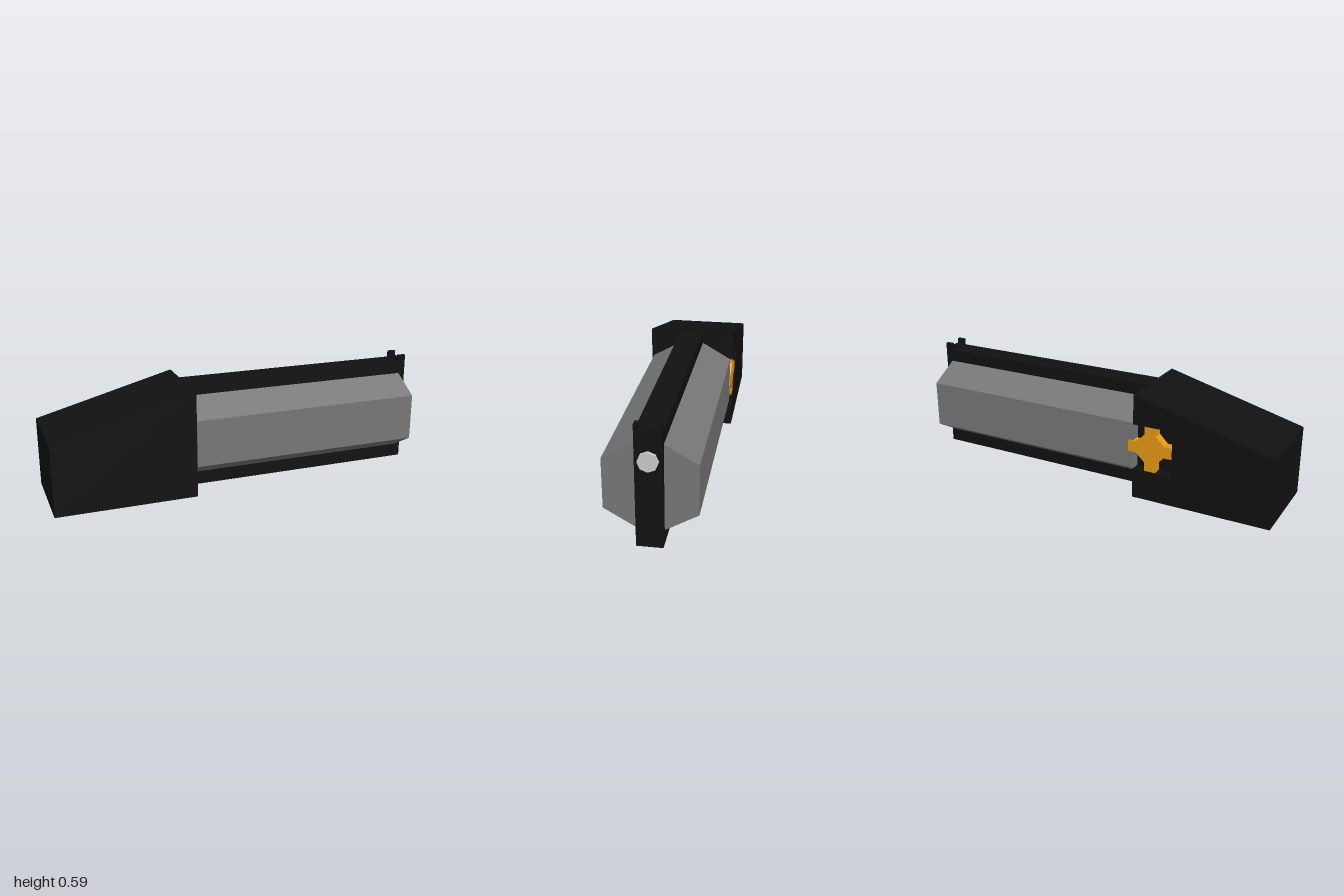
import * as THREE from 'three';

const mat = (color) => new THREE.MeshStandardMaterial({ color, flatShading: true });

// Extrude a 2D outline along z from z0 to z1
function prism(points, z0, z1) {
  const shape = new THREE.Shape(points.map(([x, y]) => new THREE.Vector2(x, y)));
  const geo = new THREE.ExtrudeGeometry(shape, { depth: z1 - z0, bevelEnabled: false });
  return geo.translate(0, 0, z0);
}

// Box given by its minimum and maximum corners
function box(x0, x1, y0, y1, z0, z1) {
  return new THREE.BoxGeometry(x1 - x0, y1 - y0, z1 - z0)
    .translate((x0 + x1) / 2, (y0 + y1) / 2, (z0 + z1) / 2);
}

export function createModel() {
  const group = new THREE.Group();
  const black = mat(0x111111);
  const grey = mat(0x777777);
  const light = mat(0xcccccc);
  const gold = mat(0xe69a14);
  const add = (name, geometry, material) => {
    const mesh = new THREE.Mesh(geometry, material);
    mesh.name = name;
    group.add(mesh);
    return mesh;
  };

  // Wedge-shaped rear block; its outer back layer has a pocket open to the front end
  const pocketZ = -0.17;
  const bottom = [[-1, 0.005], [-0.28, 0.005]];
  const top = [[-0.28, 0.555], [-1, 0.365]];
  const notch = [[-0.28, 0.16], [-0.49, 0.16], [-0.49, 0.4], [-0.28, 0.4]];
  add('rearBlock', prism([...bottom, ...top], pocketZ, 0.225), black);
  add('rearBlockPocketWall', prism([...bottom, ...notch, ...top], -0.225, pocketZ), black);

  // Central spine with a notched sight at its end
  add('spine', box(-0.28, 0.985, 0, 0.555, -0.061, 0.061), black);
  add('sightBase', box(0.945, 0.985, 0.55, 0.565, -0.061, 0.061), black);
  for (const s of [-1, 1]) {
    const post = add('sightPost', box(0.945, 0.985, 0.55, 0.59, -0.0095, 0.0095), black);
    post.position.z = s * 0.0515;
  }

  // Bevelled side housings, profile in (z, y) swept along x
  for (const s of [-1, 1]) {
    const profile = [[0.05, 0.07], [0.061, 0.07], [0.213, 0.159], [0.213, 0.402], [0.061, 0.49], [0.05, 0.49]]
      .map(([z, y]) => [s * z, y]);
    const geo = prism(profile, -0.95, 0.275).rotateY(-Math.PI / 2);
    // rotateY(-90°) maps outline x to +z and depth to -x
    add(s > 0 ? 'frontHousing' : 'backHousing', geo, grey);
  }

  // Octagonal muzzle disc
  const muzzle = new THREE.CylinderGeometry(0.047, 0.047, 0.05, 8).rotateZ(-Math.PI / 2);
  add('muzzle', muzzle.translate(0.975, 0.425, 0), light);

  // Four-armed gold knob in the pocket, one arm repeated by quarter turns
  const knob = [];
  for (let i = 0; i < 4; i++) {
    const c = [1, 0, -1, 0][i], s = [0, 1, 0, -1][i];
    for (const [x, y] of [[0.075, -0.03], [0.12, -0.03], [0.12, 0.03], [0.075, 0.03]]) {
      knob.push([x * c - y * s, x * s + y * c]);
    }
  }
  add('knob', prism(knob, -0.218, pocketZ).translate(-0.37, 0.28, 0), gold);

  return group;
}
